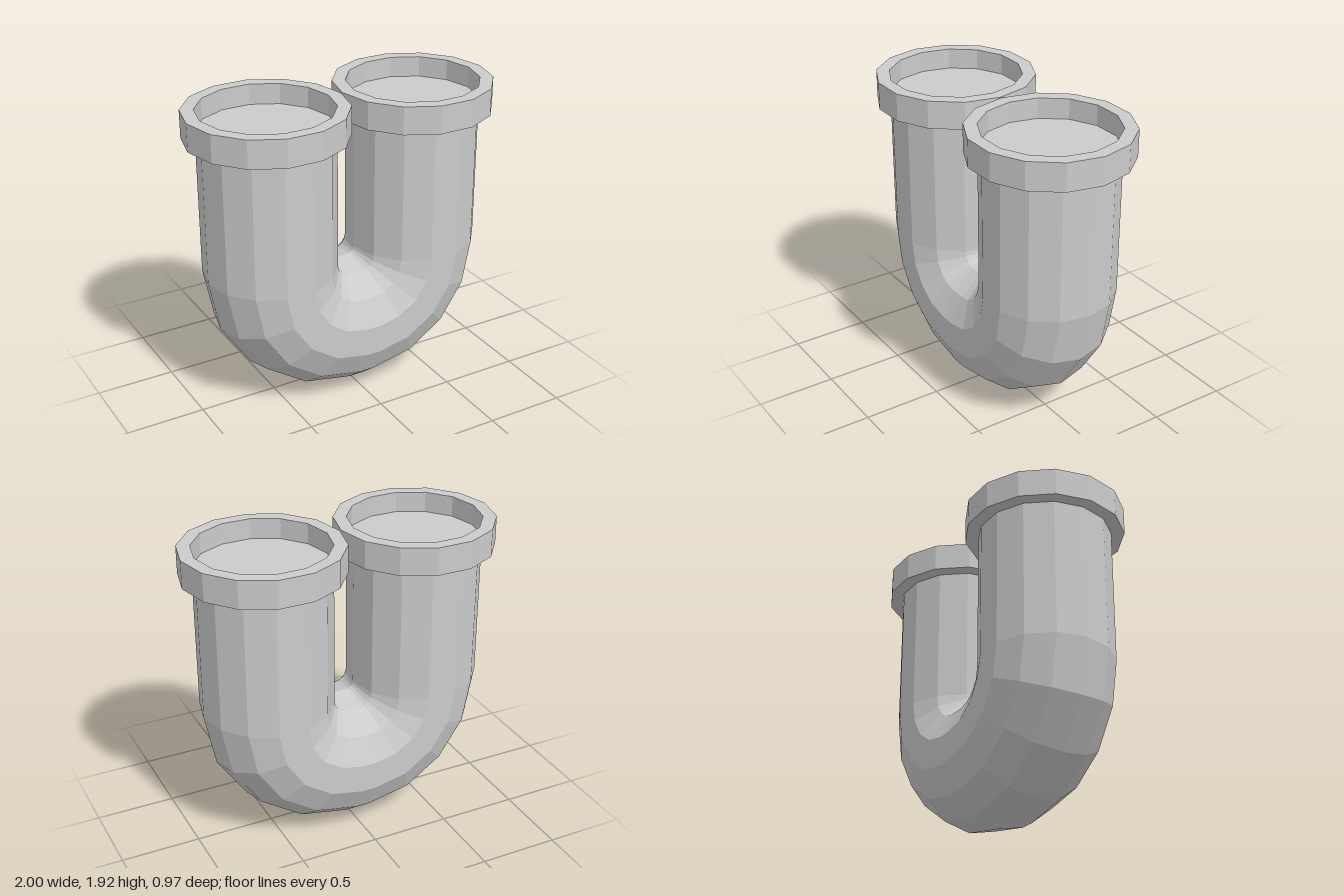
import * as THREE from 'three';

const SIDES = 14;
const LEG_X = 0.5025;    // centre line of each leg
const PIPE_R = 0.415;
const COLLAR_R = 0.4975;
const BEND_R = 0.4575;   // centre-line radius of each quarter bend
const BEND_Y = 0.875;    // height of the bend centres
const PIPE_TOP = 1.79;
const COLLAR_BOTTOM = 1.745;
const TOP = 1.92;

const material = new THREE.MeshStandardMaterial({ color: 0xcccccc, flatShading: true });

// U-shaped pipe: rings swept down one leg, round two quarter bends, up the other
function pipeGeometry() {
  const rings = [{ x: LEG_X, y: PIPE_TOP, a: 0 }];
  for (const side of [1, -1]) {
    for (let i = 0; i <= 4; i++) {
      const a = (i * Math.PI) / 8 + (side < 0 ? Math.PI / 2 : 0);
      rings.push({
        x: side * (LEG_X - BEND_R) + BEND_R * Math.cos(a),
        y: BEND_Y - BEND_R * Math.sin(a),
        a,
      });
    }
  }
  rings.push({ x: -LEG_X, y: PIPE_TOP, a: Math.PI });

  const positions = [];
  const index = [];
  for (const { x, y, a } of rings) {
    for (let j = 0; j < SIDES; j++) {
      const t = (j / SIDES) * Math.PI * 2;
      const d = PIPE_R * Math.cos(t);
      positions.push(x + d * Math.cos(a), y - d * Math.sin(a), PIPE_R * Math.sin(t));
    }
  }
  const last = rings.length - 1;
  const startCap = rings.length * SIDES;
  positions.push(LEG_X, PIPE_TOP, 0, -LEG_X, PIPE_TOP, 0);

  for (let j = 0; j < SIDES; j++) {
    const k = (j + 1) % SIDES;
    for (let i = 0; i < last; i++) {
      const p = i * SIDES;
      const q = p + SIDES;
      index.push(p + j, p + k, q + k, p + j, q + k, q + j);
    }
    // flat ends inside the collars
    index.push(startCap, k, j);
    index.push(startCap + 1, last * SIDES + j, last * SIDES + k);
  }

  const geometry = new THREE.BufferGeometry();
  geometry.setAttribute('position', new THREE.Float32BufferAttribute(positions, 3));
  geometry.setIndex(index);
  const flat = geometry.toNonIndexed();
  flat.computeVertexNormals();
  return flat;
}

// Raised collar with a square-cut rim
function collarGeometry() {
  const profile = [
    [PIPE_R, COLLAR_BOTTOM],
    [COLLAR_R, COLLAR_BOTTOM],
    [COLLAR_R, TOP],
    [PIPE_R, TOP],
    [PIPE_R, COLLAR_BOTTOM],
  ].map(([r, y]) => new THREE.Vector2(r, y));
  return new THREE.LatheGeometry(profile, SIDES, Math.PI / 2);
}

export function createModel() {
  const model = new THREE.Group();
  model.name = 'uBendPipe';

  const pipe = new THREE.Mesh(pipeGeometry(), material);
  pipe.name = 'pipe';
  model.add(pipe);

  const collar = collarGeometry();
  for (const side of [1, -1]) {
    const mesh = new THREE.Mesh(collar, material);
    mesh.name = side > 0 ? 'leftCollar' : 'rightCollar';
    mesh.position.x = side * LEG_X;
    model.add(mesh);
  }
  return model;
}
